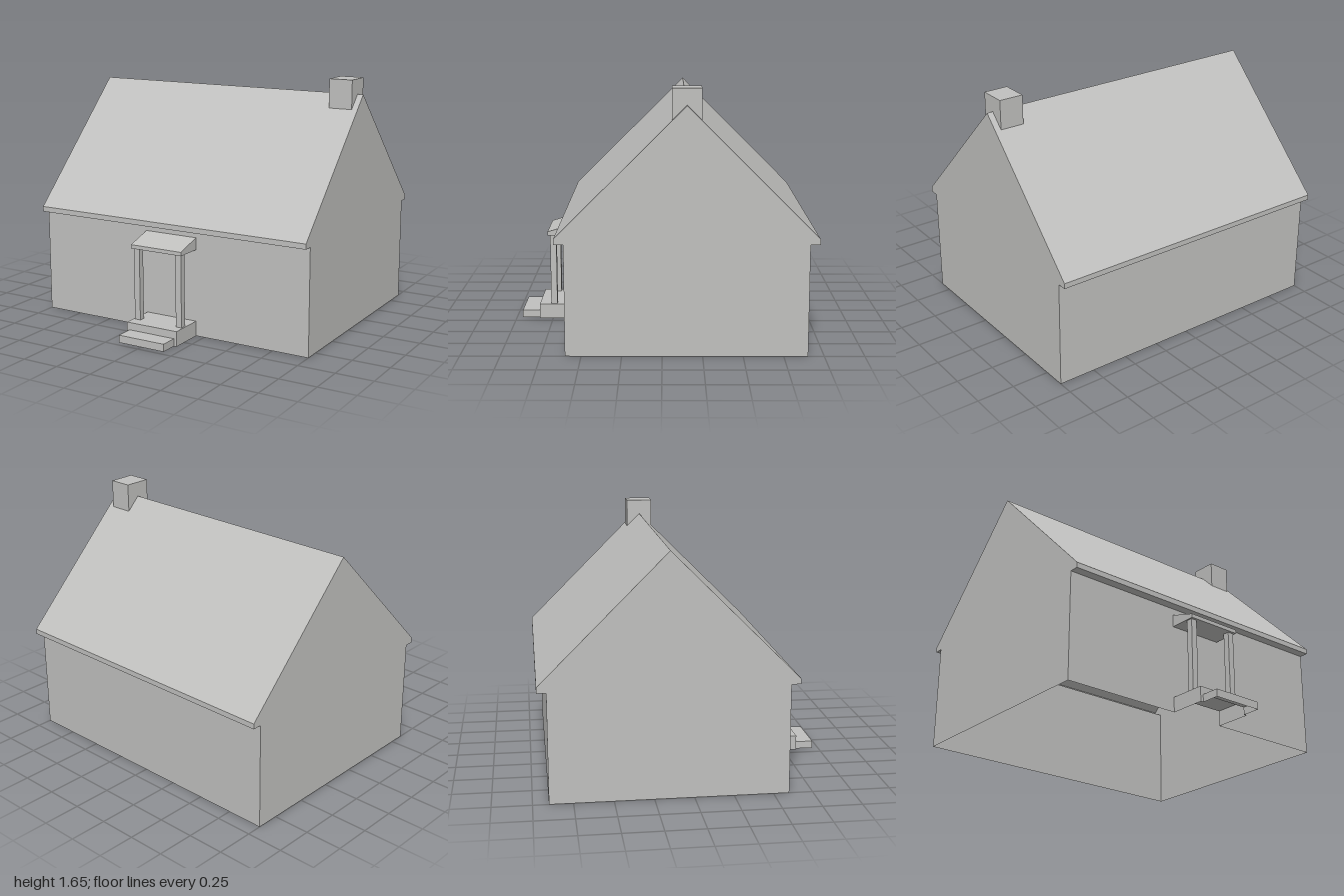
import * as THREE from 'three';
import { mergeGeometries } from 'three/addons/utils/BufferGeometryUtils.js';

// Hollow prism along x: a strip swept over the [z, y] profile, plus two end caps.
// capExtra closes the cap outline where the strip itself stays open.
function prism(profile, x0, x1, capExtra = []) {
  const pos = [];
  for (let i = 0; i < profile.length - 1; i++) {
    const [za, ya] = profile[i], [zb, yb] = profile[i + 1];
    pos.push(x0, ya, za, x0, yb, zb, x1, yb, zb);
    pos.push(x0, ya, za, x1, yb, zb, x1, ya, za);
  }
  const strip = new THREE.BufferGeometry();
  strip.setAttribute('position', new THREE.Float32BufferAttribute(pos, 3));
  strip.computeVertexNormals();

  const caps = [[1, x1], [-1, x0]].map(([side, x]) => {
    const outline = [...profile, ...capExtra].map(([z, y]) => new THREE.Vector2(-side * z, y));
    const cap = new THREE.ShapeGeometry(new THREE.Shape(outline));
    cap.rotateY(side * Math.PI / 2).translate(x, 0, 0);
    const flat = cap.toNonIndexed();
    flat.deleteAttribute('uv');
    return flat;
  });
  return mergeGeometries([strip, ...caps]);
}

// Upright panel facing +z from [x, y] points, with optional holes
function panel(points, z, holes = []) {
  const toVectors = (list) => list.map(([x, y]) => new THREE.Vector2(x, y));
  const shape = new THREE.Shape(toVectors(points));
  for (const hole of holes) shape.holes.push(new THREE.Path(toVectors(hole)));
  return new THREE.ShapeGeometry(shape).translate(0, 0, z);
}

export function createModel() {
  const model = new THREE.Group();
  model.name = 'house';
  const grey = new THREE.MeshStandardMaterial({ color: 0xc0c0be, side: THREE.DoubleSide });
  grey.name = 'plain grey';

  const add = (name, geometry, parent = model) => {
    const mesh = new THREE.Mesh(geometry, grey);
    mesh.name = name;
    parent.add(mesh);
    return mesh;
  };

  // Back wall, eaves, both roof slopes and the gables; open underneath
  const shell = [
    [-0.9, 0], [-0.9, 0.705], [-0.96, 0.705], [-0.96, 0.74], [-0.15, 1.55],
    [0.66, 0.74], [0.66, 0.705], [0.6, 0.705],
  ];
  add('roofAndGables', prism(shell, -1, 1, [[0.6, 0]]));

  // Front wall, open behind the landing and the porch roof
  add('frontWall', panel(
    [[-1, 0], [-0.19, 0], [-0.19, 0.1], [0.19, 0.1], [0.19, 0], [1, 0], [1, 0.705], [-1, 0.705]],
    0.6,
    [[[-0.19, 0.58], [-0.19, 0.66], [0.19, 0.66], [0.19, 0.58]]],
  ));

  // Chimney straddling the ridge
  add('chimney', prism(
    [[-0.24, 1.46], [-0.24, 1.65], [-0.06, 1.65], [-0.06, 1.46]],
    0.8, 0.96, [[-0.15, 1.55]],
  ));

  // Porch
  const porch = new THREE.Group();
  porch.name = 'porch';
  model.add(porch);
  add('porchRoof', prism([[0.6, 0.66], [0.78, 0.605], [0.78, 0.58], [0.6, 0.58]], -0.19, 0.19), porch);
  for (const side of [-1, 1]) {
    const post = add(side > 0 ? 'leftPost' : 'rightPost', new THREE.BoxGeometry(0.042, 0.48, 0.042), porch);
    post.position.set(side * 0.158, 0.34, 0.742);
  }

  // Landing and step, hollow below
  add('landing', prism([[0.6, 0.1], [0.84, 0.1]], -0.19, 0.19, [[0.84, 0], [0.6, 0]]), porch);
  add('landingRiser', panel(
    [[-0.19, 0], [-0.17, 0], [-0.17, 0.05], [0.17, 0.05], [0.17, 0], [0.19, 0], [0.19, 0.1], [-0.19, 0.1]],
    0.84,
  ), porch);
  add('step', prism([[0.84, 0.05], [0.96, 0.05], [0.96, 0]], -0.17, 0.17, [[0.84, 0]]), porch);

  return model;
}
